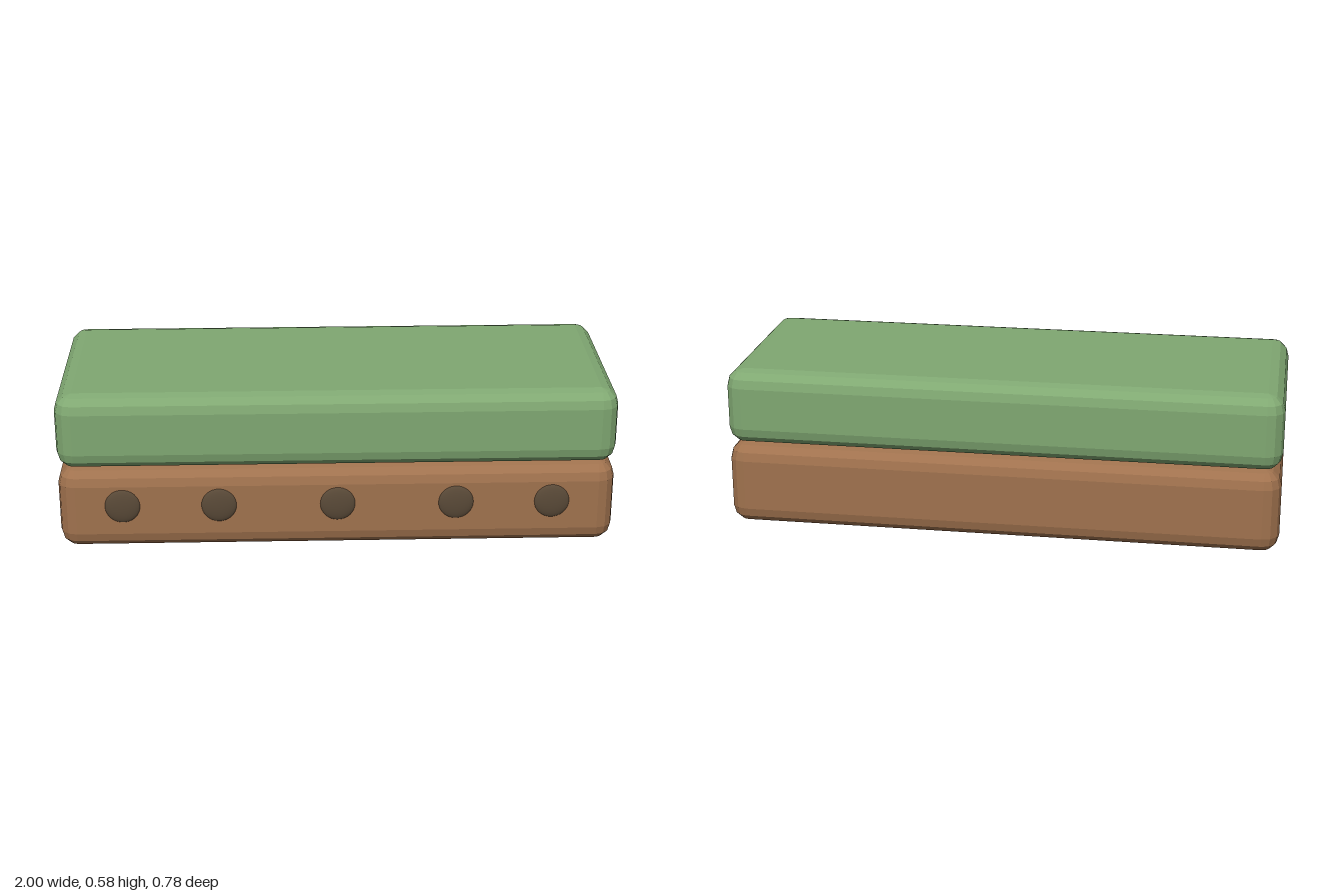
import * as THREE from 'three';
import { ConvexGeometry } from 'three/addons/geometries/ConvexGeometry.js';

const RADIUS = 0.062;
const STEPS = 3;

// Box with faceted round edges: the hull of eight sphere octants
function bevelledBox(width, height, depth) {
  const points = [];
  for (const sx of [-1, 1]) for (const sy of [-1, 1]) for (const sz of [-1, 1]) {
    for (let i = 0; i <= STEPS; i++) {
      const tilt = (i / STEPS) * Math.PI / 2;
      const count = i === STEPS ? 0 : STEPS;
      for (let j = 0; j <= count; j++) {
        const turn = (j / STEPS) * Math.PI / 2;
        points.push(new THREE.Vector3(
          sx * (width / 2 - RADIUS + RADIUS * Math.cos(tilt) * Math.cos(turn)),
          sy * (height / 2 - RADIUS + RADIUS * Math.sin(tilt)),
          sz * (depth / 2 - RADIUS + RADIUS * Math.cos(tilt) * Math.sin(turn))
        ));
      }
    }
  }
  return new ConvexGeometry(points);
}

function slab(name, bottom, top, color) {
  const material = new THREE.MeshStandardMaterial({ color, flatShading: true });
  const mesh = new THREE.Mesh(bevelledBox(2, top - bottom, 0.766), material);
  mesh.name = name;
  mesh.position.set(0, (bottom + top) / 2, -0.005);
  return mesh;
}

export function createModel() {
  const model = new THREE.Group();
  model.name = 'twoLayerBlock';

  // Brown base with a green layer on top
  model.add(slab('soilBase', 0, 0.308, 0xa0724e));
  model.add(slab('grassTop', 0.308, 0.585, 0x80a872));

  // Row of flattened pebbles set into the front
  const pebbles = new THREE.Group();
  pebbles.name = 'frontPebbles';
  const geometry = new THREE.SphereGeometry(1, 24, 16);
  const material = new THREE.MeshStandardMaterial({ color: 0x5a4a38 });
  for (const x of [-0.77, -0.425, 0, 0.425, 0.77]) {
    const pebble = new THREE.Mesh(geometry, material);
    pebble.name = 'pebble';
    pebble.scale.set(0.064, 0.064, 0.014);
    pebble.position.set(x, 0.172, 0.376);
    pebbles.add(pebble);
  }
  model.add(pebbles);
  return model;
}
